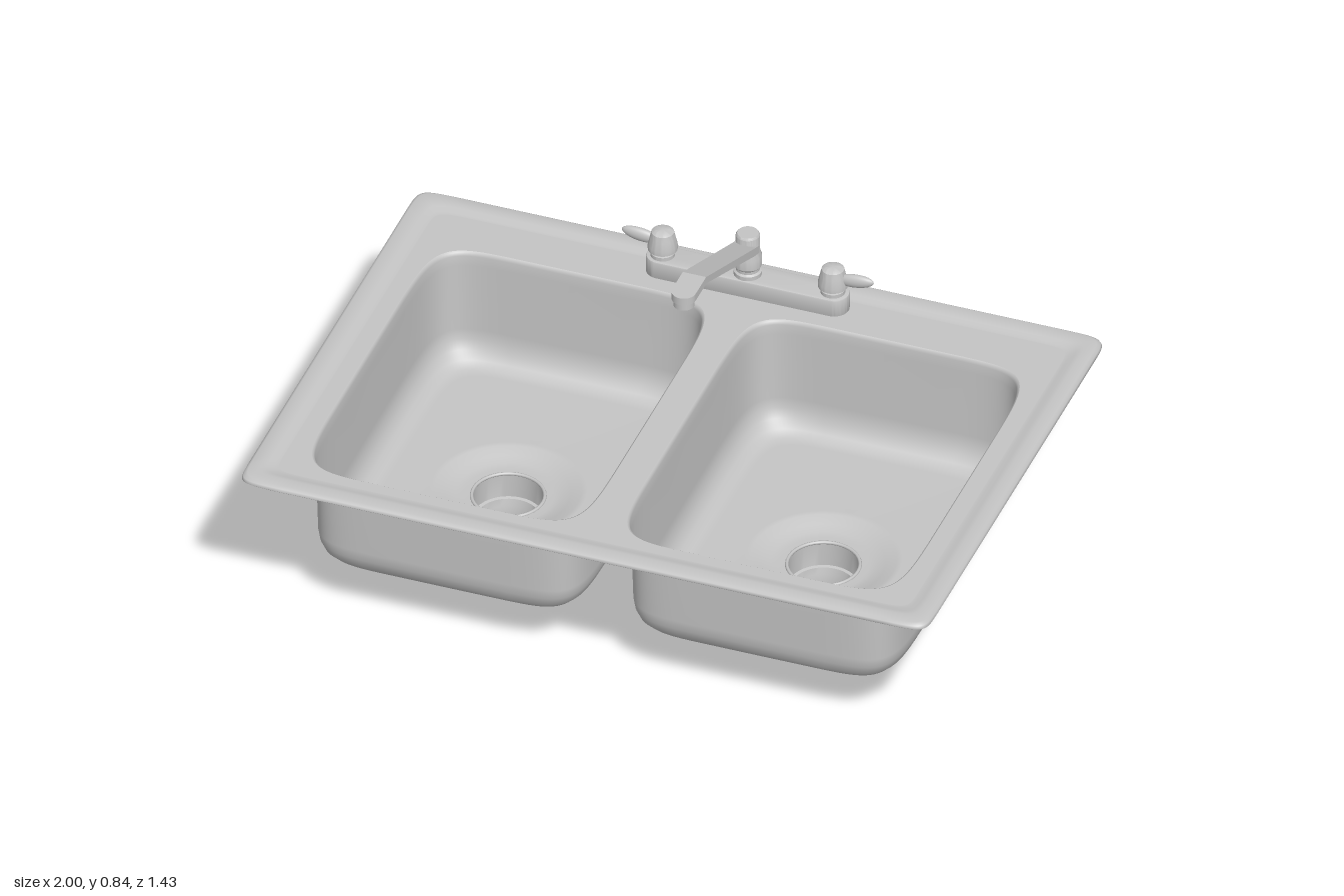
import * as THREE from 'three';
import { toCreasedNormals } from 'three/addons/utils/BufferGeometryUtils.js';

const SEG = 96;

// Soft-cornered rectangle (superellipse) as [x, z] points; n = 2 gives an ellipse.
function loop(cx, cz, hw, hh, n) {
  const curve = (v) => (Math.abs(v) < 1e-9 ? 0 : Math.sign(v) * Math.abs(v) ** (2 / n));
  return Array.from({ length: SEG }, (_, i) => {
    const t = (i / SEG) * Math.PI * 2;
    return [cx + hw * curve(Math.cos(t)), cz + hh * curve(Math.sin(t))];
  });
}

// Skin a list of { pts, y } rings, listed from the outside inwards.
function loft(rings) {
  const pos = [], idx = [];
  rings.forEach(({ pts, y }) => pts.forEach(([x, z]) => pos.push(x, y, z)));
  for (let r = 0; r < rings.length - 1; r++) {
    for (let i = 0; i < SEG; i++) {
      const j = (i + 1) % SEG;
      const a = r * SEG + i, b = r * SEG + j, c = a + SEG, d = b + SEG;
      idx.push(a, c, b, b, c, d);
    }
  }
  const g = new THREE.BufferGeometry();
  g.setAttribute('position', new THREE.Float32BufferAttribute(pos, 3));
  g.setIndex(idx);
  g.computeVertexNormals();
  return g;
}

function lathe(profile) {
  const pts = profile.map(([r, y]) => new THREE.Vector2(r, y));
  return toCreasedNormals(new THREE.LatheGeometry(pts, 40), 0.6);
}

export function createModel() {
  const sink = new THREE.Group();
  sink.name = 'doubleSink';
  const steel = new THREE.MeshStandardMaterial({ color: 0xc4c4c4, side: THREE.DoubleSide });
  steel.name = 'steel';
  const dark = new THREE.MeshStandardMaterial({ color: 0x707070, side: THREE.DoubleSide });
  dark.name = 'darkDrain';

  function add(name, geometry, parent = sink, material = steel) {
    const mesh = new THREE.Mesh(geometry, material);
    mesh.name = name;
    parent.add(mesh);
    return mesh;
  }

  const BX = 0.4575, BZ = 0.048, BW = 0.4125, BH = 0.553, DECK = 0.522;
  const deckLoop = (d) => loop(0, 0, 1 - d, 0.717 - d, 40);

  // Raised outer rim, from the edge inwards
  const rimProfile = [[0.004, 0.512], [0, 0.516], [0.003, 0.524], [0.012, 0.53],
    [0.04, 0.531], [0.055, 0.528], [0.07, 0.523], [0.08, DECK]];
  add('rim', loft(rimProfile.map(([d, y]) => ({ pts: deckLoop(d), y }))));

  // Flat deck with two bowl openings
  const vec = (pts) => pts.map(([x, z]) => new THREE.Vector2(x, -z));
  const deck = new THREE.Shape(vec(deckLoop(0.08)));
  for (const s of [-1, 1]) deck.holes.push(new THREE.Path(vec(loop(s * BX, BZ, BW, BH, 8))));
  add('deck', new THREE.ShapeGeometry(deck).rotateX(-Math.PI / 2).translate(0, DECK, 0));

  // Bowls: [inset, height] down the wall, then [radius, height] into the drain
  const wall = [[0, DECK], [0.004, 0.519], [0.007, 0.51], [0.009, 0.48], [0.014, 0.27],
    [0.018, 0.24], [0.028, 0.212], [0.045, 0.191], [0.066, 0.179], [0.09, 0.176]];
  const dish = [[0.215, 0.174], [0.2, 0.172], [0.17, 0.161], [0.145, 0.153], [0.125, 0.15], [0.097, 0.15]];
  for (const s of [-1, 1]) {
    const side = s > 0 ? 'left' : 'right';
    add(side + 'Bowl', loft([
      ...wall.map(([d, y]) => ({ pts: loop(s * BX, BZ, BW - d, BH - d, 8), y })),
      ...dish.map(([r, y]) => ({ pts: loop(s * BX, BZ, r, r, 2), y })),
    ]));

    // Drain cup and tailpiece, open at the top and closed by a dark disc
    const drain = new THREE.Group();
    drain.name = side + 'Drain';
    drain.position.set(s * BX, 0, BZ);
    sink.add(drain);
    add('drainFlange', new THREE.TorusGeometry(0.1, 0.005, 8, 40).rotateX(Math.PI / 2).translate(0, 0.151, 0), drain);
    add('drainCup', lathe([[0.078, 0.013], [0.079, 0.035], [0.083, 0.055], [0.088, 0.075],
      [0.097, 0.077], [0.097, 0.15]]), drain);
    add('drainDisc', new THREE.CircleGeometry(0.079, 40).rotateX(-Math.PI / 2).translate(0, 0.014, 0), drain, dark);
  }

  // Faucet, centred on the back ledge
  const faucet = new THREE.Group();
  faucet.name = 'faucet';
  faucet.position.z = -0.597;
  sink.add(faucet);

  // Base plate with round ends
  const plate = new THREE.Shape();
  plate.absarc(0.25, 0, 0.038, -Math.PI / 2, Math.PI / 2);
  plate.absarc(-0.25, 0, 0.038, Math.PI / 2, Math.PI * 1.5);
  const plateGeo = new THREE.ExtrudeGeometry(plate, {
    depth: 0.05, bevelThickness: 0.005, bevelSize: 0.005, bevelSegments: 2, curveSegments: 16,
  });
  add('basePlate', toCreasedNormals(plateGeo.rotateX(-Math.PI / 2).translate(0, 0.52, 0), 0.6), faucet);

  add('post', lathe([[0.039, 0.573], [0.039, 0.587], [0.033, 0.591], [0.033, 0.6], [0.039, 0.607],
    [0.039, 0.638], [0.033, 0.655], [0.033, 0.705], [0.029, 0.711], [0, 0.711]]), faucet);

  // Spout: side profile extruded across, with a rounded tip and nozzle
  const arm = new THREE.Shape([[0, 0.653], [0.03, 0.662], [0.417, 0.835], [0.5, 0.835],
    [0.5, 0.858], [0.42, 0.858], [0.03, 0.688], [0, 0.677]].map(([z, y]) => new THREE.Vector2(z, y)));
  const armGeo = new THREE.ExtrudeGeometry(arm, { depth: 0.068, bevelEnabled: false });
  add('spoutArm', armGeo.rotateY(-Math.PI / 2).translate(0.034, 0, 0), faucet);
  add('spoutTip', new THREE.CylinderGeometry(0.034, 0.034, 0.023, 32).translate(0, 0.8465, 0.503), faucet);
  add('nozzle', new THREE.CylinderGeometry(0.029, 0.029, 0.024, 32).translate(0, 0.826, 0.503), faucet);

  // Tap handles with outward levers
  for (const s of [-1, 1]) {
    const handle = new THREE.Group();
    handle.name = s > 0 ? 'leftHandle' : 'rightHandle';
    handle.position.x = s * 0.247;
    faucet.add(handle);
    add('hub', lathe([[0.034, 0.573], [0.034, 0.586], [0.028, 0.588], [0.028, 0.594], [0.041, 0.596],
      [0.041, 0.61], [0.035, 0.635], [0.031, 0.652], [0.02, 0.659], [0, 0.66]]), handle);
    const lever = add('lever', new THREE.SphereGeometry(1, 24, 16), handle);
    lever.scale.set(0.056, 0.02, 0.014);
    lever.position.set(s * 0.063, 0.626, 0);
    lever.rotation.z = s * 0.12;
  }
  return sink;
}
